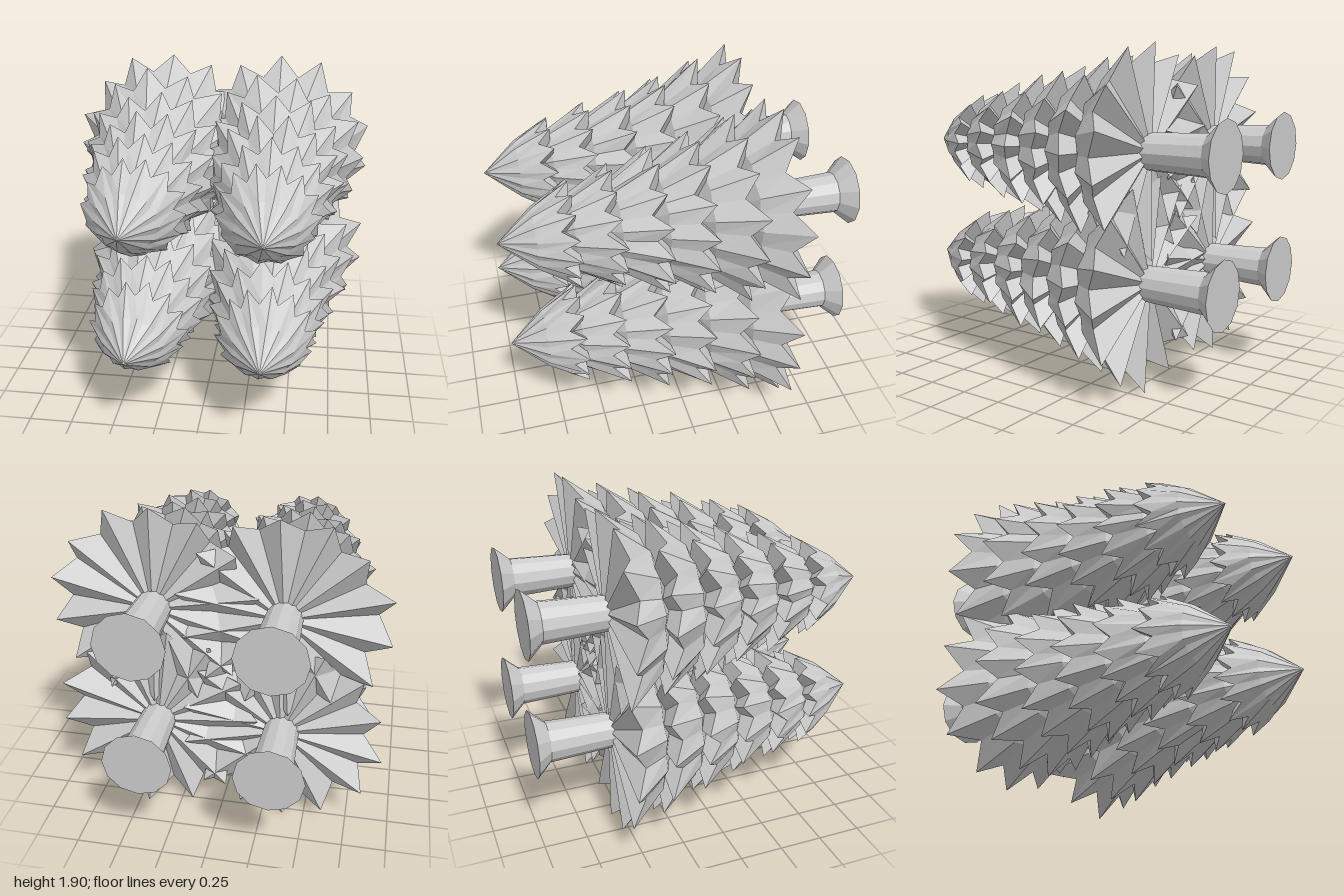
import * as THREE from 'three';

const POINTS = 14;

// small seeded generator for uneven branch tips
function seeded(seed) {
  let s = seed;
  return () => (s = (s * 16807) % 2147483647) / 2147483647;
}

// one pleated, star-edged cone along z, closed at the back
function starCone({ apexZ, midZ, midR, tipZ, tipR, phase, rand }) {
  const n = POINTS * 2, mid = [], rim = [];
  for (let k = 0; k < n; k++) {
    const tip = k % 2 === 0;
    const a = phase + (k / n) * Math.PI * 2 + (rand() - 0.5) * 0.05;
    const r = tipR * (tip ? 1 : 0.82) * (1 + (rand() - 0.5) * 0.07);
    const z = tipZ + (tip ? 0 : 0.085) + (rand() - 0.5) * 0.016;
    const m = midR * (tip ? 1.03 : 0.95);
    mid.push([Math.cos(a) * m, Math.sin(a) * m, midZ]);
    rim.push([Math.cos(a) * r, Math.sin(a) * r, z]);
  }
  const apex = [0, 0, apexZ], back = [0, 0, tipZ + 0.01], out = [];
  for (let k = 0; k < n; k++) {
    const j = (k + 1) % n;
    out.push(
      ...apex, ...mid[k], ...mid[j],
      ...mid[k], ...rim[k], ...rim[j],
      ...mid[k], ...rim[j], ...mid[j],
      ...back, ...rim[j], ...rim[k]
    );
  }
  const g = new THREE.BufferGeometry();
  g.setAttribute('position', new THREE.Float32BufferAttribute(out, 3));
  g.computeVertexNormals();
  return g;
}

// tip z, tip radius, middle z, middle radius, apex z
const TIERS = [
  [0.59, 0.29, 0.8, 0.165, 1.0],
  [0.36, 0.345, 0.6, 0.205, 0.76],
  [0.12, 0.4, 0.36, 0.25, 0.53],
  [-0.11, 0.455, 0.12, 0.3, 0.3],
  [-0.345, 0.525, -0.11, 0.345, 0.07],
  [-0.57, 0.585, -0.345, 0.4, -0.16],
];

function makeTree(material, phaseDeg, seed) {
  const tree = new THREE.Group();
  const rand = seeded(seed);

  // six overlapping tiers, each turned half a point from the next
  TIERS.forEach(([tipZ, tipR, midZ, midR, apexZ], i) => {
    const phase = THREE.MathUtils.degToRad(phaseDeg) + ((5 - i) % 2) * (Math.PI / POINTS);
    const tier = new THREE.Mesh(starCone({ apexZ, midZ, midR, tipZ, tipR, phase, rand }), material);
    tier.name = 'branchTier' + (i + 1);
    tree.add(tier);
  });

  // tapered trunk with flared foot, ending in a flat disc
  const profile = [[0, -1], [0.195, -1], [0.117, -0.915], [0.1, -0.5], [0, -0.5]];
  const trunkGeo = new THREE.LatheGeometry(profile.map(([r, y]) => new THREE.Vector2(r, y)), 12)
    .rotateX(Math.PI / 2).toNonIndexed();
  trunkGeo.computeVertexNormals();
  const trunk = new THREE.Mesh(trunkGeo, material);
  trunk.name = 'trunk';
  tree.add(trunk);
  return tree;
}

export function createModel() {
  const model = new THREE.Group();
  model.name = 'fourTrees';
  const grey = new THREE.MeshStandardMaterial({ color: 0xcccccc });
  grey.name = 'plainGrey';
  grey.flatShading = true;

  // two by two stack of trees lying with their tops to the front
  const places = [
    ['upperLeftTree', 0.365, 1.325, 14.5, 11],
    ['upperRightTree', -0.355, 1.325, 9.5, 4242],
    ['lowerLeftTree', 0.365, 0.6, 19.7, 90909],
    ['lowerRightTree', -0.355, 0.6, 11.5, 777777],
  ];
  for (const [name, x, y, phase, seed] of places) {
    const tree = makeTree(grey, phase, seed);
    tree.name = name;
    tree.position.set(x, y, 0);
    model.add(tree);
  }
  return model;
}
